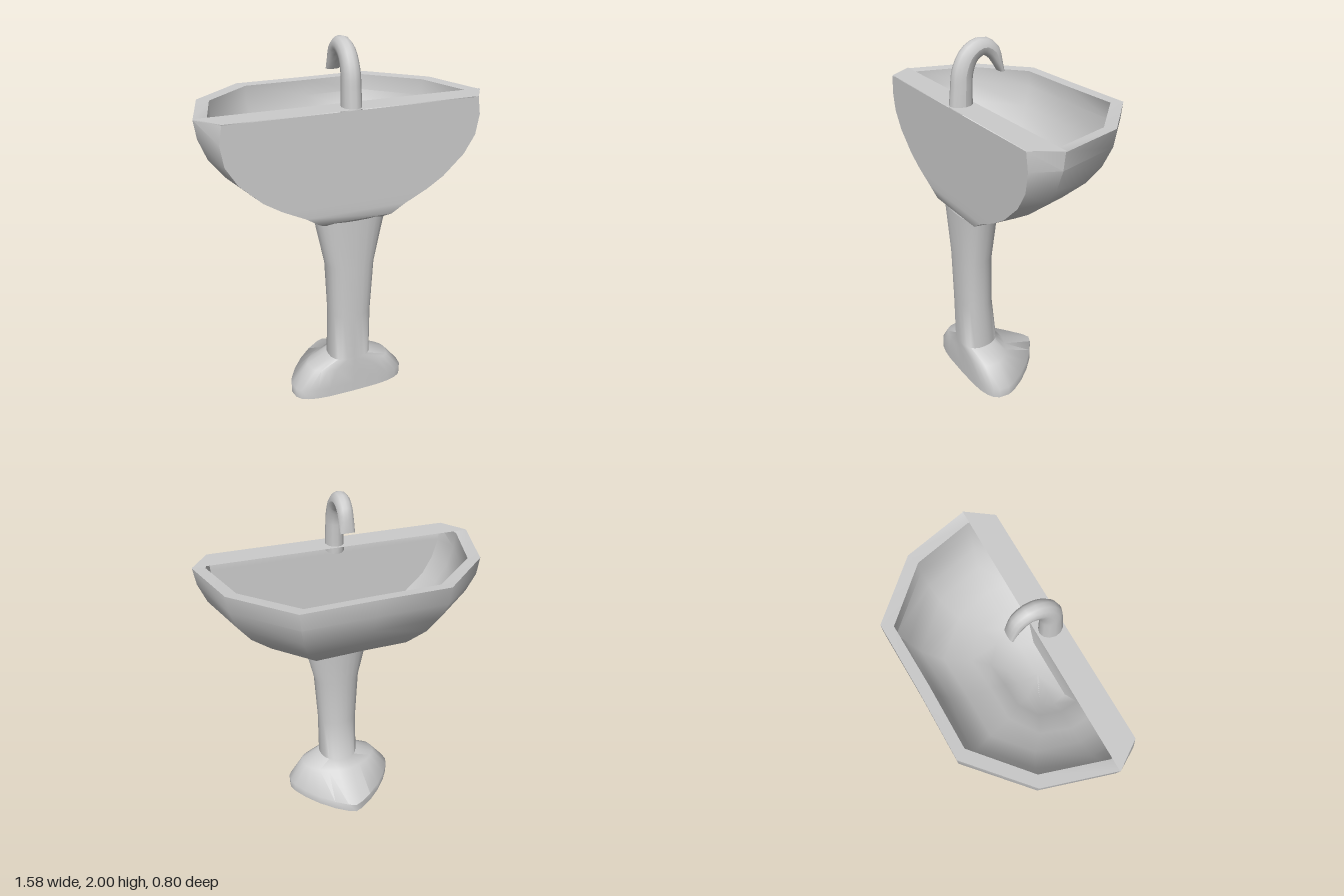
import * as THREE from 'three';
import { toCreasedNormals } from 'three/addons/utils/BufferGeometryUtils.js';

const material = new THREE.MeshStandardMaterial({ color: 0xcccccc, side: THREE.DoubleSide });

function addMesh(group, name, geometry) {
  const mesh = new THREE.Mesh(geometry, material);
  mesh.name = name;
  group.add(mesh);
  return mesh;
}

// Skin a stack of closed rings that share one point count
function loft(rings, crease) {
  const n = rings[0].length;
  const index = [];
  for (let r = 0; r < rings.length - 1; r++) {
    for (let i = 0; i < n; i++) {
      const j = (i + 1) % n;
      const a = r * n + i, b = r * n + j;
      index.push(a, b, a + n, b, b + n, a + n);
    }
  }
  const geometry = new THREE.BufferGeometry();
  geometry.setAttribute('position', new THREE.Float32BufferAttribute(rings.flat(2), 3));
  geometry.setIndex(index);
  return toCreasedNormals(geometry, crease);
}

// Basin outline: flat back, chamfered back corners, faceted and slightly skewed front
function basinRing(y, width, front, backWidth, side = 0.26, back = 0.4) {
  const middle = side - (side - front) * 0.56;
  return [
    [width * backWidth, y, back],
    [width, y, side],
    [width * 0.87, y, middle],
    [width * 0.5, y, front],
    [0, y, front + 0.015],
    [-width * 0.5, y, front + 0.022],
    [-width * 0.87, y, middle],
    [-width, y, side],
    [-width * backWidth, y, back],
  ];
}

// Pedestal outline: rounded all round; frontPower above 1 gives a pointed front,
// backPower below 1 a flatter back
function pedestalRing(y, width, front, centre, frontPower, backPower) {
  const ring = [];
  const sides = 24;
  for (let i = 0; i < sides; i++) {
    const a = (i / sides) * Math.PI * 2;
    const c = Math.cos(a), s = Math.sin(a);
    const power = s > 0 ? frontPower : backPower;
    const depth = s > 0 ? front - centre : 0.4 - centre;
    ring.push([
      width * Math.sign(c) * Math.abs(c) ** power,
      y,
      centre + depth * Math.abs(s) ** power,
    ]);
  }
  return ring;
}

function createBasin() {
  return loft([
    // outside, going up
    basinRing(1.06, 0.18, 0.185, 0.9, 0.3, 0.37),
    basinRing(1.08, 0.22, 0.16, 0.93, 0.3, 0.395),
    basinRing(1.13, 0.295, 0.085, 0.96, 0.29),
    basinRing(1.19, 0.42, -0.02, 0.97, 0.28),
    basinRing(1.25, 0.52, -0.18, 0.97, 0.27),
    basinRing(1.36, 0.65, -0.28, 0.96),
    basinRing(1.46, 0.73, -0.34, 0.94),
    basinRing(1.57, 0.775, -0.395, 0.91),
    basinRing(1.665, 0.79, -0.402, 0.873),
    // rim and inside, going down
    basinRing(1.66, 0.72, -0.345, 0.95, 0.25, 0.395),
    basinRing(1.57, 0.715, -0.345, 0.95, 0.26, 0.395),
    basinRing(1.46, 0.68, -0.3, 0.95, 0.26, 0.395),
    basinRing(1.36, 0.615, -0.25, 0.96, 0.26, 0.395),
    basinRing(1.26, 0.5, -0.15, 0.97, 0.27, 0.395),
    basinRing(1.205, 0.4, -0.01, 0.97, 0.28, 0.395),
    basinRing(1.16, 0.28, 0.08, 0.96, 0.29, 0.395),
    basinRing(1.08, 0.2, 0.165, 0.9, 0.3, 0.38),
    // floor
    basinRing(1.08, 0.001, 0.3, 1, 0.3, 0.301),
  ], 0.88);
}

function createPedestal() {
  return loft([
    pedestalRing(0, 0.335, -0.09, 0.27, 1.5, 0.6),
    pedestalRing(0.055, 0.335, -0.09, 0.27, 1.5, 0.6),
    pedestalRing(0.17, 0.24, 0.13, 0.28, 1.2, 0.6),
    pedestalRing(0.22, 0.12, 0.17, 0.3, 1, 0.8),
    pedestalRing(0.5, 0.12, 0.2, 0.3, 1, 0.8),
    pedestalRing(0.8, 0.138, 0.2, 0.3, 1, 0.8),
    pedestalRing(1.075, 0.2, 0.18, 0.3, 1, 0.8),
  ], 0.95);
}

function createDeck() {
  const shape = new THREE.Shape([
    new THREE.Vector2(-0.69, -0.4),
    new THREE.Vector2(0.69, -0.4),
    new THREE.Vector2(0.79, -0.255),
    new THREE.Vector2(-0.79, -0.255),
  ]);
  return new THREE.ShapeGeometry(shape).rotateX(-Math.PI / 2).translate(0, 1.669, 0);
}

// Gooseneck tube that thins towards the tip but keeps its width
function createFaucet() {
  const path = new THREE.CatmullRomCurve3([
    [0.333, 1.63], [0.325, 1.75], [0.315, 1.84], [0.272, 1.92],
    [0.2, 1.953], [0.145, 1.925], [0.115, 1.87], [0.095, 1.815],
  ].map(([z, y]) => new THREE.Vector3(0, y, z)));
  const radii = [0.065, 0.06, 0.056, 0.05, 0.041, 0.012];
  const segments = 20, sides = 12;
  const geometry = new THREE.TubeGeometry(path, segments, 1, sides);
  const position = geometry.attributes.position;
  const v = new THREE.Vector3();
  for (let i = 0; i < position.count; i++) {
    const u = Math.floor(i / (sides + 1)) / segments;
    const centre = path.getPointAt(u);
    const k = Math.min(Math.floor(u * 5), 4);
    const radius = THREE.MathUtils.lerp(radii[k], radii[k + 1], u * 5 - k);
    v.fromBufferAttribute(position, i).sub(centre);
    v.set(v.x * THREE.MathUtils.lerp(0.053, 0.04, u), v.y * radius, v.z * radius).add(centre);
    position.setXYZ(i, v.x, v.y, v.z);
  }
  geometry.computeVertexNormals();
  return geometry;
}

export function createModel() {
  const group = new THREE.Group();
  group.name = 'pedestalSink';
  addMesh(group, 'pedestal', createPedestal());
  addMesh(group, 'basin', createBasin());
  addMesh(group, 'deck', createDeck());
  addMesh(group, 'faucet', createFaucet()).position.x = -0.01;
  return group;
}
